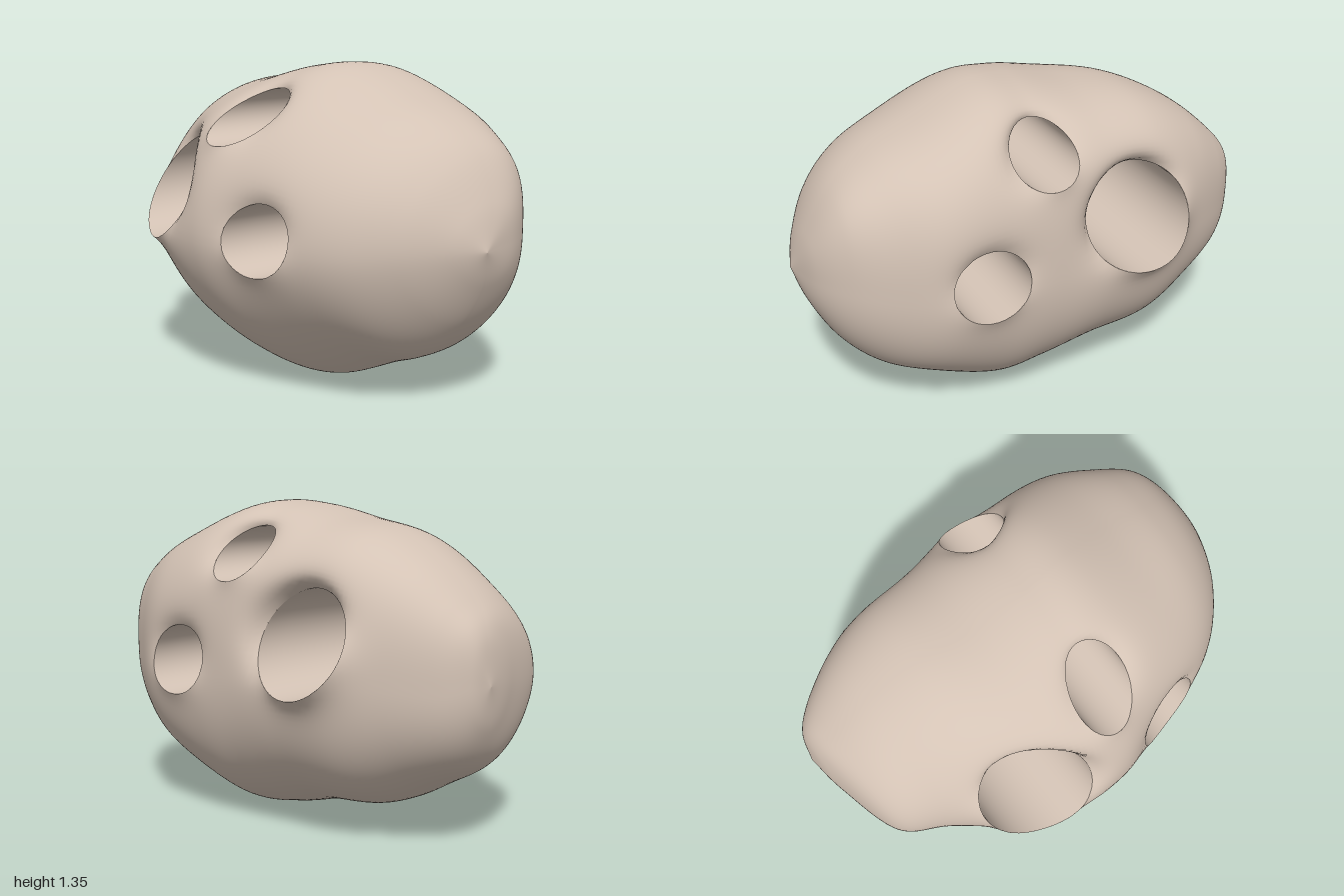
import * as THREE from 'three';

// Body stations along x: x, top y, bottom y, front z, back z
const STATIONS = [
  [-1, 0.67, 0.67, -0.22, -0.22],
  [-0.97, 0.86, 0.49, -0.04, -0.31],
  [-0.88, 0.98, 0.33, 0.24, -0.4],
  [-0.7, 1.125, 0.22, 0.36, -0.5],
  [-0.47, 1.235, 0.11, 0.51, -0.59],
  [-0.2, 1.28, 0.07, 0.635, -0.62],
  [0.03, 1.33, 0.015, 0.64, -0.62],
  [0.23, 1.335, 0.005, 0.585, -0.62],
  [0.5, 1.23, 0.115, 0.51, -0.61],
  [0.7, 1.145, 0.2, 0.4, -0.52],
  [0.85, 1.03, 0.345, 0.24, -0.42],
  [0.95, 0.85, 0.52, 0.06, -0.28],
  [1, 0.67, 0.67, -0.08, -0.08],
];

// Through holes: centre and radii in the xy plane; the rim sinks by
// sink on average, and by tiltX and tiltY more towards +x and +y
const HOLES = [
  { name: 'largeHoleWall', x: -0.34, y: 0.8, rx: 0.235, ry: 0.21, sink: 0.03, tiltX: 0.05, tiltY: 0.08 },
  { name: 'upperHoleWall', x: 0.065, y: 1.13, rx: 0.138, ry: 0.11, sink: 0.035, tiltX: 0.02, tiltY: 0.05 },
  { name: 'sideHoleWall', x: 0.345, y: 0.675, rx: 0.165, ry: 0.145, sink: 0.01, tiltX: 0, tiltY: 0.03 },
];

const curve = (a, b) => new THREE.CatmullRomCurve3(
  STATIONS.map((s) => new THREE.Vector3(s[0], s[a], s[b])), false, 'catmullrom', 0.5);
const heights = curve(1, 2);
const depths = curve(3, 4);

function section(t) {
  const h = heights.getPoint(t);
  const d = depths.getPoint(t);
  return {
    x: h.x, yc: (h.y + h.z) / 2, hy: (h.y - h.z) / 2,
    zc: (d.y + d.z) / 2, hz: (d.y - d.z) / 2,
  };
}

function sectionAtX(x) {
  let lo = 0, hi = 1;
  for (let k = 0; k < 30; k++) {
    const mid = (lo + hi) / 2;
    if (heights.getPoint(mid).x < x) lo = mid; else hi = mid;
  }
  return section(lo);
}

const holeDistance = (h, x, y) => Math.hypot((x - h.x) / h.rx, (y - h.y) / h.ry);

// Soft dip of the surface around each hole
function dip(x, y) {
  let sum = 0;
  for (const h of HOLES) {
    const d = Math.max(1e-4, holeDistance(h, x, y));
    const gap = Math.max(0, d - 1) * h.ry;
    const right = (x - h.x) / h.rx / d, up = (y - h.y) / h.ry / d;
    sum += (h.sink + h.tiltX * right + h.tiltY * up) * Math.exp(-gap / 0.045);
  }
  return sum;
}

// Depth of the front (side = 1) or back (side = -1) at x, y in a section;
// the back is flatter, the front tapers below and the top leans backwards
function depthIn(s, x, y, side) {
  const u = THREE.MathUtils.clamp((y - s.yc) / s.hy, -1, 1);
  const power = side < 0 ? 2.35 : 1.9 + 0.17 * Math.tanh(u * 4);
  const z = s.hz * Math.pow(1 - Math.pow(Math.abs(u), power), 1 / power);
  const lean = 0.07 * Math.max(0, u) ** 2 * Math.min(1, s.hz * 3);
  return s.zc - lean + side * (z - Math.min(z, dip(x, y)));
}

function geometryFrom(positions, index) {
  const g = new THREE.BufferGeometry();
  g.setAttribute('position', new THREE.Float32BufferAttribute(positions, 3));
  g.setIndex(index);
  g.computeVertexNormals();
  return g;
}

// Lofted pebble; faces inside the holes are left out and the edges fit the rims
function bodyGeometry() {
  const nx = 120, nr = 144;
  const positions = [], inside = [], index = [];
  for (let i = 0; i <= nx; i++) {
    // the end sections shrink to almost a point
    const s = section(THREE.MathUtils.clamp(i / nx, 1e-4, 1 - 1e-4));
    for (let j = 0; j < nr; j++) {
      const a = (j / nr) * Math.PI * 2;
      const n = Math.sin(a);
      const side = Math.cos(a) >= 0 ? 1 : -1;
      let x = s.x, y = s.yc + s.hy * Math.sign(n) * Math.pow(Math.abs(n), 0.9);
      let z;
      const hole = HOLES.findIndex((h) => holeDistance(h, x, y) < 1);
      if (hole >= 0) {
        const h = HOLES[hole];
        const d = Math.max(1e-4, holeDistance(h, x, y));
        x = h.x + (x - h.x) / d;
        y = h.y + (y - h.y) / d;
        z = depthIn(sectionAtX(x), x, y, side);
      } else {
        z = depthIn(s, x, y, side);
      }
      positions.push(x, y, z);
      inside.push(hole);
    }
  }
  const face = (a, b, c) => {
    if (inside[a] >= 0 && inside[b] >= 0 && inside[c] >= 0) return;
    index.push(a, b, c);
  };
  for (let i = 0; i < nx; i++) {
    for (let j = 0; j < nr; j++) {
      const k = (j + 1) % nr;
      const a = i * nr + j, b = (i + 1) * nr + j;
      const c = (i + 1) * nr + k, d = i * nr + k;
      face(a, b, c);
      face(a, c, d);
    }
  }
  return geometryFrom(positions, index);
}

// Tunnel from the front rim to the back rim, facing inwards
function wallGeometry(h) {
  const around = 48, along = 8;
  const positions = [], index = [];
  for (let j = 0; j < around; j++) {
    const a = (j / around) * Math.PI * 2;
    const x = h.x + h.rx * Math.cos(a), y = h.y + h.ry * Math.sin(a);
    const s = sectionAtX(x);
    const front = depthIn(s, x, y, 1), back = depthIn(s, x, y, -1);
    for (let i = 0; i <= along; i++) {
      positions.push(x, y, THREE.MathUtils.lerp(back, front, i / along));
    }
  }
  const row = along + 1;
  for (let j = 0; j < around; j++) {
    const k = (j + 1) % around;
    for (let i = 0; i < along; i++) {
      const a = j * row + i, b = k * row + i;
      index.push(a, a + 1, b + 1, a, b + 1, b);
    }
  }
  return geometryFrom(positions, index);
}

export function createModel() {
  const group = new THREE.Group();
  group.name = 'piercedStone';
  const stone = new THREE.MeshStandardMaterial({ color: 0xd4c3b5, side: THREE.DoubleSide });
  stone.name = 'warm stone';

  const body = new THREE.Mesh(bodyGeometry(), stone);
  body.name = 'stoneBody';
  group.add(body);

  for (const h of HOLES) {
    const wall = new THREE.Mesh(wallGeometry(h), stone);
    wall.name = h.name;
    group.add(wall);
  }
  return group;
}
